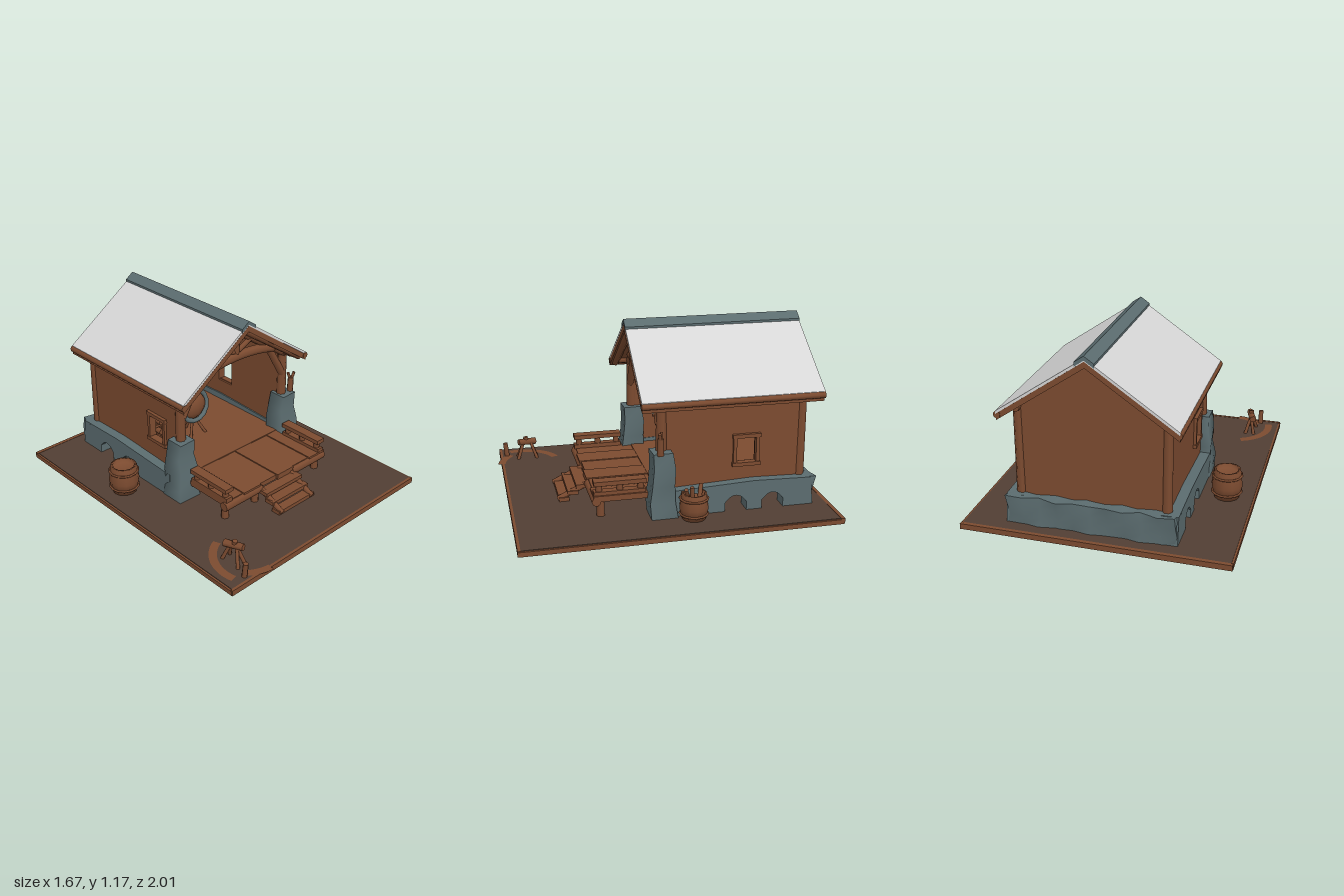
import * as THREE from 'three';

const mat = (name, color, side = THREE.FrontSide) => {
  const m = new THREE.MeshStandardMaterial({ color, side });
  m.name = name;
  return m;
};

export function createModel() {
  const wood = mat('warm wood', 0x7c4b30);
  const woodFaces = mat('warm wood thin', 0x7c4b30, THREE.DoubleSide);
  const earth = mat('dark earth', 0x523f34);
  const stone = mat('slate stone', 0x5b6c6f);
  const pale = mat('pale roof', 0xd6d6d6);
  const root = new THREE.Group();
  root.name = 'woodlandHut';
  const CX = 0.04; // ridge line of the house

  const add = (name, geo, material, x = 0, y = 0, z = 0) => {
    const m = new THREE.Mesh(geo, material);
    m.name = name;
    m.position.set(x, y, z);
    root.add(m);
    return m;
  };
  // Box given by its extents
  const box = (name, x0, x1, y0, y1, z0, z1, material = wood) =>
    add(name, new THREE.BoxGeometry(x1 - x0, y1 - y0, z1 - z0), material, (x0 + x1) / 2, (y0 + y1) / 2, (z0 + z1) / 2);
  // Hewn beam between two points
  const beam = (name, a, b, r, material = wood, sides = 7) => {
    const p = new THREE.Vector3(...a), q = new THREE.Vector3(...b), d = q.clone().sub(p);
    const m = add(name, new THREE.CylinderGeometry(r * 0.92, r, d.length(), sides), material);
    m.position.copy(p).add(q).multiplyScalar(0.5);
    m.quaternion.setFromUnitVectors(new THREE.Vector3(0, 1, 0), d.normalize());
    return m;
  };
  // Uneven surface, driven by position so seams stay closed
  const rough = (geo, amt) => {
    const p = geo.attributes.position;
    for (let i = 0; i < p.count; i++) {
      const x = p.getX(i), y = p.getY(i), z = p.getZ(i);
      p.setXYZ(i, x + amt * Math.sin(37 * y + 23 * z), y + amt * 0.5 * Math.sin(31 * x + 29 * z), z + amt * Math.sin(41 * x + 19 * y));
    }
    geo.computeVertexNormals();
    return geo;
  };
  const shapeOf = pts => new THREE.Shape(pts.map(p => new THREE.Vector2(...p)));
  const extrude = (shape, depth) => new THREE.ExtrudeGeometry(shape, { depth, bevelEnabled: false, curveSegments: 10 });
  // Side profile drawn as (-z, y), pushed along x
  const sidePanel = (name, shape, x, depth, material) => add(name, extrude(shape, depth).rotateY(Math.PI / 2), material, x);

  // Ground slab with a timber rim and a stone underside
  box('ground', -0.82, 0.82, 0.01, 0.044, -0.985, 0.98, earth);
  for (const s of [-1, 1]) box('groundRimSide', s * 0.825 - 0.008, s * 0.825 + 0.008, 0.01, 0.04, -0.99, 0.985);
  box('groundRimBack', -0.83, 0.83, 0.01, 0.046, -1, -0.975);
  box('groundRimFront', -0.83, 0.83, 0.01, 0.046, 0.972, 0.99);
  const patch = (name, grow, y, material) => {
    const pts = [[-0.52, -0.86], [0, -0.89], [0.54, -0.87], [0.58, -0.3], [0.55, 0.15], [0.32, 0.25], [0.2, 0.5], [-0.1, 0.62], [-0.34, 0.48], [-0.42, 0.22], [-0.55, 0.1], [-0.5, -0.4]]
      .map(([x, z]) => new THREE.Vector2(x * grow, (z + 0.13) * grow - 0.13));
    const shape = new THREE.Shape().setFromPoints(new THREE.SplineCurve([...pts, pts[0]]).getPoints(60));
    add(name, new THREE.ShapeGeometry(shape).rotateX(Math.PI / 2), material, 0, y, 0);
  };
  patch('undersideRim', 1.07, 0.005, stone);
  patch('undersidePatch', 0.98, 0.001, pale);

  // Stone footing, arched on both sides
  for (const x of [-0.49, 0.465]) {
    const s = new THREE.Shape();
    s.moveTo(-0.05, 0.04);
    for (const c of [0.38, 0.62]) {
      s.lineTo(c - 0.07, 0.04);
      s.lineTo(c - 0.07, 0.1);
      s.quadraticCurveTo(c, 0.195, c + 0.07, 0.1);
      s.lineTo(c + 0.07, 0.04);
    }
    s.lineTo(0.89, 0.04);
    s.lineTo(0.87, 0.225);
    s.lineTo(0.5, 0.235);
    s.lineTo(-0.05, 0.21);
    sidePanel('archedFooting', s, x, 0.105, stone);
  }
  add('backFooting', rough(new THREE.BoxGeometry(1.04, 0.19, 0.1, 10, 3, 1), 0.012), stone, CX, 0.13, -0.845);
  box('frontFooting', -0.36, 0.43, 0.04, 0.14, 0.04, 0.12, stone);

  // Side walls with a framed window
  for (const [x, zc, yc, outer] of [[-0.425, -0.13, 0.45, -0.425], [0.475, -0.455, 0.425, 0.51]]) {
    const wall = shapeOf([[-0.1, 0.2], [0.83, 0.2], [0.83, 0.81], [-0.1, 0.81]]);
    wall.holes.push(shapeOf([[-zc - 0.065, yc - 0.085], [-zc - 0.065, yc + 0.085], [-zc + 0.065, yc + 0.085], [-zc + 0.065, yc - 0.085]]));
    sidePanel('sideWall', wall, x, 0.035, wood);
    for (const s of [-1, 1]) {
      box('windowJamb', outer - 0.018, outer + 0.018, yc - 0.1, yc + 0.1, zc + s * 0.073 - 0.011, zc + s * 0.073 + 0.011);
      box('windowRail', outer - 0.022, outer + 0.022, yc + s * 0.092 - 0.012, yc + s * 0.092 + 0.012, zc - 0.09, zc + 0.09);
    }
    for (const px of [x + 0.015]) {
      beam('backPost', [px, 0.2, -0.815], [px, 0.82, -0.815], 0.033);
      beam('wallPlate', [px, 0.79, -0.86], [px, 0.79, 0.17], 0.028);
    }
  }
  // Gabled back wall
  const gable = shapeOf([[-0.425, 0.2], [0.51, 0.2], [0.51, 0.8], [CX, 1.12], [-0.425, 0.8]]);
  add('backWall', extrude(gable, 0.035), wood, 0, 0, -0.83);
  beam('wallRail', [-0.18, 0.64, -0.785], [0.18, 0.65, -0.785], 0.02);

  // Roof: timber layer, pale covering, stone ridge cap
  const chevron = (half, top, thick) => shapeOf([[-half, top - 0.69 * half], [-half, top - 0.69 * half - thick], [0, top - thick], [half, top - 0.69 * half - thick], [half, top - 0.69 * half], [0, top]]);
  add('roofTimber', extrude(chevron(0.542, 1.142, 0.04), 1.14), wood, CX, 0, -0.925);
  add('roofCovering', extrude(chevron(0.542, 1.162, 0.019), 1.145), pale, CX, 0, -0.93);
  add('ridgeCap', extrude(chevron(0.058, 1.176, 0.026), 1.15), stone, CX, 0, -0.932);
  for (const s of [-1, 1]) {
    beam('eaveLog', [CX + s * 0.535, 0.765, -0.93], [CX + s * 0.535, 0.765, 0.218], 0.023);
    beam('frontRafter', [CX, 1.1, 0.18], [CX + s * 0.51, 0.755, 0.18], 0.026);
    beam('innerRafter', [CX, 1.08, 0.09], [CX + s * 0.46, 0.77, 0.09], 0.032);
    // Front posts on battered stone piers
    const px = CX + s * 0.455;
    beam('frontPost', [px, 0.43, 0.08], [px, 0.82, 0.08], 0.034);
    beam('cornerBrace', [px - s * 0.01, 0.62, 0.09], [px - s * 0.17, 0.89, 0.09], 0.026);
    const pier = new THREE.CylinderGeometry(0.085, 0.118, 0.42, 4, 4).rotateY(Math.PI / 4);
    add('stonePier', rough(pier, 0.008), stone, CX + s * (s > 0 ? 0.47 : 0.455), 0.25, 0.08);
    beam('trussStrut', [CX + s * 0.02, 0.93, 0.1], [CX + s * 0.17, 1.0, 0.1], 0.018);
  }
  beam('kingPost', [CX, 0.9, 0.1], [CX, 1.1, 0.1], 0.024);
  const tie = new THREE.QuadraticBezierCurve3(new THREE.Vector3(CX - 0.34, 0.85, 0.1), new THREE.Vector3(CX, 0.94, 0.1), new THREE.Vector3(CX + 0.34, 0.85, 0.1));
  add('archedTieBeam', new THREE.TubeGeometry(tie, 12, 0.032, 7), wood);

  // Floor and porch planks
  box('innerFloor', -0.4, 0.48, 0.15, 0.19, -0.8, 0.1);
  for (let i = 0; i < 6; i++) {
    const x = -0.41 + i * 0.151;
    box('porchPlank', x, x + 0.147, 0.15, 0.183 + 0.004 * (i % 2), 0.08, 0.485 + 0.012 * (i % 2));
  }
  for (const [a, b] of [[-0.42, -0.1], [0.18, 0.49]]) beam('porchFrontLog', [a, 0.15, 0.48], [b, 0.15, 0.48], 0.032);
  for (const x of [-0.38, -0.12, 0.2, 0.45]) beam('porchLeg', [x, 0.04, 0.45], [x, 0.16, 0.45], 0.026);
  // Low porch railings
  for (const x of [-0.385, 0.455]) {
    for (const z of [0.2, 0.33, 0.46]) beam('railPost', [x, 0.17, z], [x, 0.265, z], 0.022);
    box('railTop', x - 0.033, x + 0.033, 0.25, 0.278, 0.17, 0.495);
    box('railFoot', x - 0.025, x + 0.025, 0.18, 0.21, 0.17, 0.495);
  }
  // Steps
  for (let i = 0; i < 3; i++) box('stepTread', -0.125, 0.2, 0.125 - i * 0.04, 0.15 - i * 0.04, 0.49 + i * 0.06, 0.565 + i * 0.055);
  for (const x of [-0.1, 0.175]) beam('stepStringer', [x, 0.15, 0.48], [x, 0.055, 0.68], 0.02);

  // Shelf stacked with logs
  for (const x of [-0.37, -0.2]) box('shelfSide', x - 0.012, x + 0.012, 0.19, 0.46, -0.5, -0.36);
  for (let i = 0; i < 4; i++) {
    const y = 0.22 + i * 0.075;
    box('shelfBoard', -0.38, -0.19, y, y + 0.018, -0.5, -0.35);
    if (i < 3) for (let k = 0; k < 3; k++) beam('stackedLog', [-0.335 + k * 0.05, y + 0.04, -0.49], [-0.335 + k * 0.05, y + 0.04, -0.35 + 0.01 * k], 0.022);
  }
  add('shelfBowl', new THREE.CylinderGeometry(0.05, 0.03, 0.06, 8), wood, -0.32, 0.5, -0.43);
  beam('lowStump', [-0.14, 0.18, -0.3], [-0.14, 0.28, -0.3], 0.05);

  // Round stone-rimmed kettle on a stand
  const ring = add('kettleRim', new THREE.TorusGeometry(0.112, 0.017, 6, 14), stone, 0, 0.41, -0.26);
  ring.rotation.x = -0.2;
  const bowl = add('kettleBody', new THREE.SphereGeometry(0.105, 12, 8), wood, 0, 0.4, -0.28);
  bowl.scale.set(1, 0.95, 0.6);
  for (const [x, z] of [[-0.07, -0.22], [0.07, -0.22], [0, -0.36]]) beam('kettleLeg', [x, 0.18, z], [0, 0.33, -0.28], 0.011);

  // Barrels, open at the top
  const barrel = (x, z, r, h) => {
    const pts = [[0, 0], [0.8, 0], [1, 0.45], [0.86, 1], [0.7, 1], [0.7, 0.85], [0, 0.85]].map(([a, b]) => new THREE.Vector2(a * r, b * h));
    add('barrel', new THREE.LatheGeometry(pts, 12), woodFaces, x, 0.044, z);
    for (const t of [0.2, 0.8]) add('barrelHoop', new THREE.TorusGeometry(r * 0.93, 0.008, 5, 14).rotateX(Math.PI / 2), wood, x, 0.044 + h * t, z);
  };
  barrel(-0.65, -0.22, 0.1, 0.19);
  barrel(0.61, -0.1, 0.092, 0.165);
  for (const d of [-0.035, 0.01, 0.04]) beam('kindling', [0.61, 0.18, -0.1 + d], [0.61 + d, 0.25, -0.1 + d * 1.5], 0.014);

  // Carved sprig on the right-hand pier
  beam('sprigStem', [0.565, 0.45, 0.1], [0.57, 0.56, 0.1], 0.022);
  for (const s of [-1, 1]) beam('sprigTip', [0.57, 0.53, 0.1], [0.57 + s * 0.02, 0.595, 0.1 + s * 0.01], 0.011);

  // Worn path arcs and a small trestle in the yard
  for (const [start, len] of [[Math.PI * 0.62, 1.45], [Math.PI * 1.25, 0.7]])
    add('pathArc', new THREE.RingGeometry(0.235, 0.285, 20, 1, start, len).rotateX(-Math.PI / 2), woodFaces, -0.5, 0.047, start > 3 ? 0.73 : 0.85);
  beam('trestleTop', [-0.66, 0.155, 0.74], [-0.62, 0.165, 0.86], 0.024);
  for (const [dx, dz] of [[-0.03, -0.06], [0.03, -0.06], [-0.03, 0.06], [0.03, 0.06]])
    beam('trestleLeg', [-0.64 + dx, 0.04, 0.8 + dz * 1.1], [-0.64, 0.16, 0.8 + dz * 0.4], 0.012);
  beam('trestlePeg', [-0.64, 0.15, 0.8], [-0.64, 0.195, 0.81], 0.018);
  beam('yardPeg', [-0.69, 0.04, 0.94], [-0.69, 0.14, 0.95], 0.018);

  return root;
}
